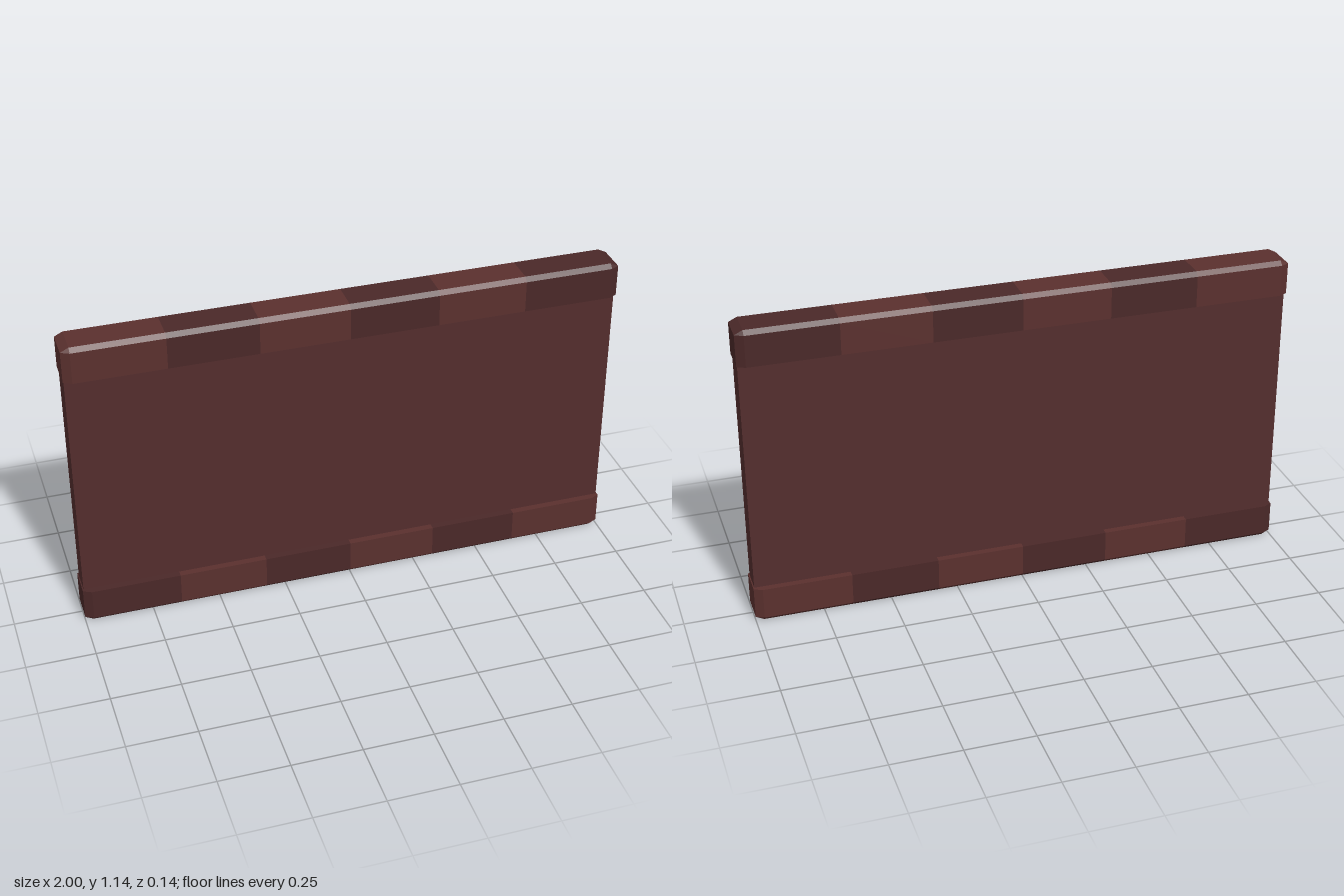
import * as THREE from 'three';

const HEIGHT = 1.142, RAIL_H = 0.132, BEVEL = 0.015, HALF_Z = 0.07, END = 0.03;
const CUTS = [-1, -0.645, -0.323, 0, 0.323, 0.645, 1];

const material = (color) => new THREE.MeshStandardMaterial({ color, flatShading: true });

// Rail outline in (z, y): open side at y = 0, bevelled outer edges at the top.
function outline(x, isEnd) {
  const z = HALF_Z - BEVEL, y = RAIL_H - BEVEL;
  const side = isEnd ? z : HALF_Z, top = isEnd ? y : RAIL_H;
  return [[-side, 0], [-side, y], [-z, top], [z, top], [side, y], [side, 0]]
    .map(([pz, py]) => new THREE.Vector3(x, py, pz));
}

// Joins consecutive outlines into a skin, capping the rail's outer ends.
function railSegment(x0, x1) {
  const loops = [];
  if (x0 === -1) loops.push(outline(-1, true));
  loops.push(outline(x0 === -1 ? x0 + END : x0, false));
  loops.push(outline(x1 === 1 ? x1 - END : x1, false));
  if (x1 === 1) loops.push(outline(1, true));

  const points = [];
  const tri = (a, b, c) => {
    if (new THREE.Triangle(a, b, c).getArea() > 1e-8) points.push(a, b, c);
  };
  for (let s = 0; s < loops.length - 1; s++) {
    const a = loops[s], b = loops[s + 1];
    for (let i = 0; i < a.length; i++) {
      const j = (i + 1) % a.length;
      tri(a[i], a[j], b[j]);
      tri(a[i], b[j], b[i]);
    }
  }
  const first = loops[0], last = loops[loops.length - 1];
  for (let i = 1; i < first.length - 1; i++) {
    if (x0 === -1) tri(first[0], first[i + 1], first[i]);
    if (x1 === 1) tri(last[0], last[i], last[i + 1]);
  }
  const geometry = new THREE.BufferGeometry().setFromPoints(points);
  geometry.computeVertexNormals();
  return geometry;
}

// A rail of blocks in two alternating shades.
function makeRail(name, shades) {
  const rail = new THREE.Group();
  rail.name = name;
  for (let i = 0; i < CUTS.length - 1; i++) {
    const block = new THREE.Mesh(railSegment(CUTS[i], CUTS[i + 1]), shades[i % 2]);
    block.name = 'railBlock';
    rail.add(block);
  }
  return rail;
}

export function createModel() {
  const model = new THREE.Group();
  model.name = 'wallPanel';
  const light = material(0x5a302e), dark = material(0x4a2828);

  // Flat wall slab, tucked into both rails
  const slab = new THREE.Mesh(
    new THREE.BoxGeometry(1.992, HEIGHT - RAIL_H, 0.09), material(0x532d2d));
  slab.name = 'slab';
  slab.position.y = HEIGHT / 2;
  model.add(slab);

  // Top rail, and bottom rail turned over with the shades swapped
  const topRail = makeRail('topRail', [light, dark]);
  topRail.position.y = HEIGHT - RAIL_H;
  const bottomRail = makeRail('bottomRail', [dark, light]);
  bottomRail.rotation.x = Math.PI;
  bottomRail.position.y = RAIL_H;
  model.add(topRail, bottomRail);
  return model;
}
